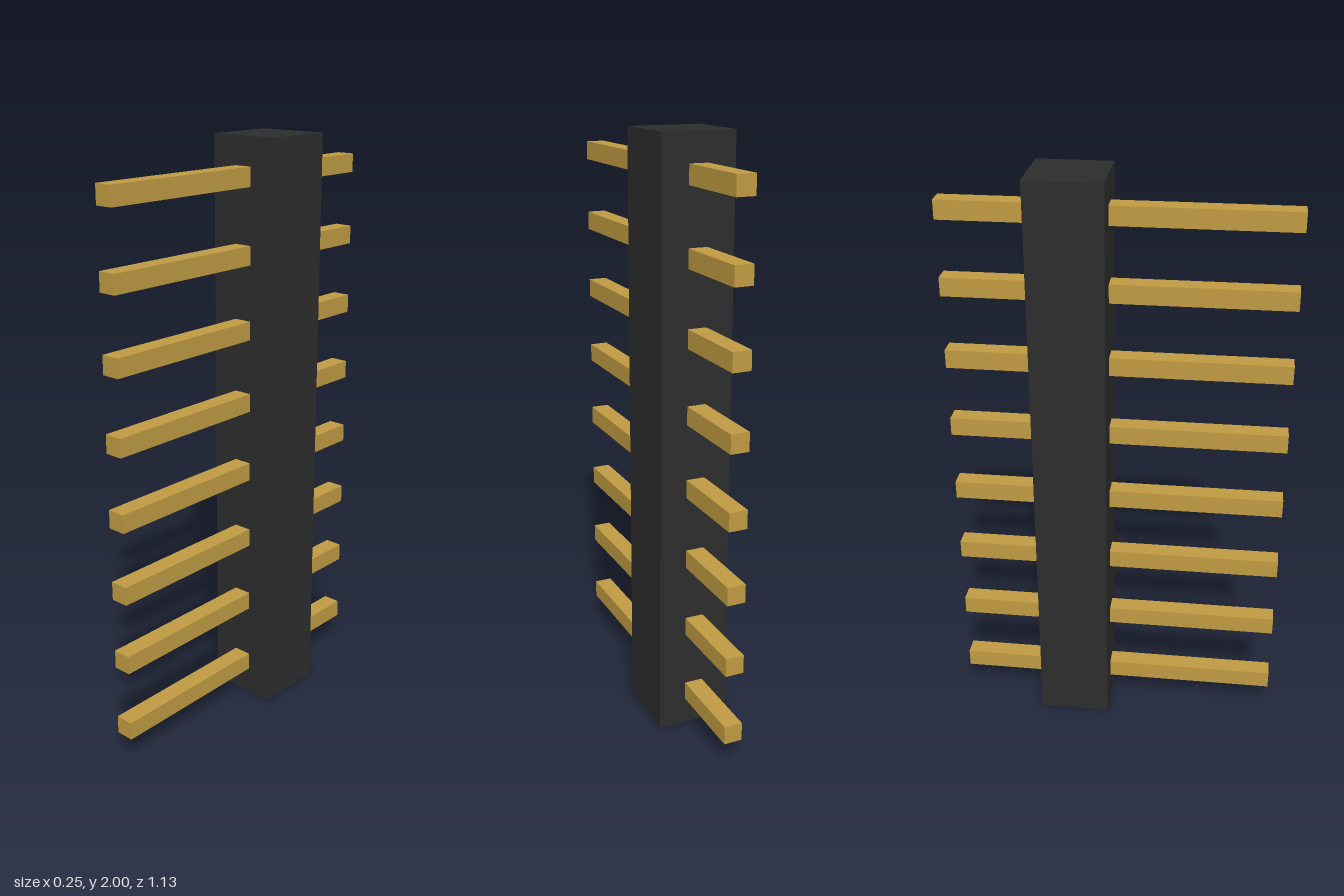
import * as THREE from 'three';

const PIN_COUNT = 8;
const PITCH = 0.25;

export function createModel() {
  const model = new THREE.Group();
  model.name = 'pinHeader';

  const blackPlastic = new THREE.MeshStandardMaterial({ color: 0x2d2d2d });
  blackPlastic.name = 'black plastic';
  const goldMetal = new THREE.MeshStandardMaterial({ color: 0xbf9b42 });
  goldMetal.name = 'gold metal';

  // Square plastic bar, set back behind the middle of the pins
  const housing = new THREE.Mesh(
    new THREE.BoxGeometry(0.247, PIN_COUNT * PITCH, 0.247), blackPlastic);
  housing.name = 'housing';
  housing.position.set(0, 1, -0.149);
  model.add(housing);

  // Square pins running right through the bar, long side to the front
  const pinGeometry = new THREE.BoxGeometry(0.063, 0.063, 1.134);
  for (let i = 0; i < PIN_COUNT; i++) {
    const pin = new THREE.Mesh(pinGeometry, goldMetal);
    pin.name = `pin${i + 1}`;
    pin.position.y = (i + 0.5) * PITCH;
    model.add(pin);
  }

  return model;
}
